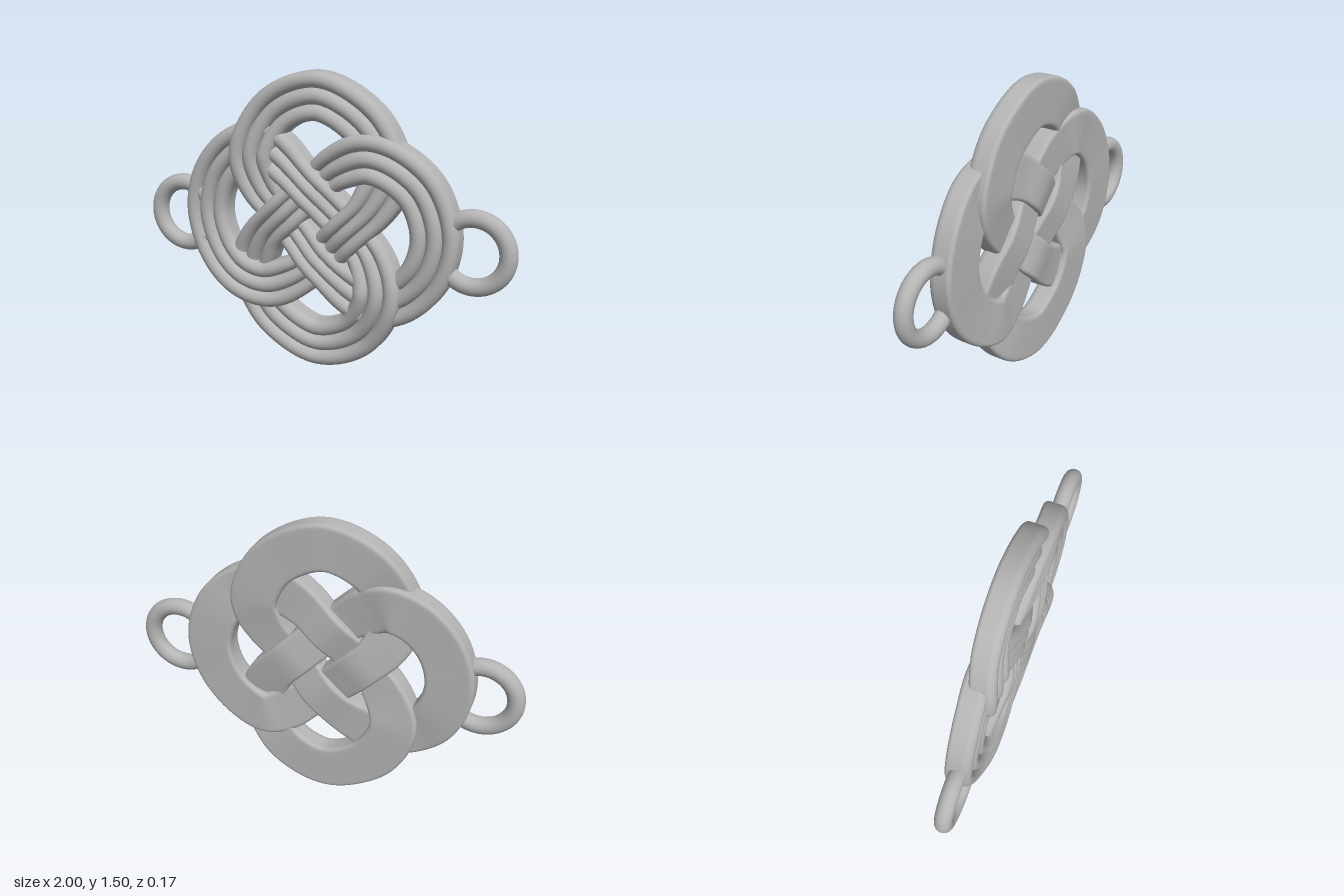
import * as THREE from 'three';
import { mergeGeometries } from 'three/addons/utils/BufferGeometryUtils.js';

// Half of the knot's centre line; the other half is the same turned 180 degrees
const CX = -0.02, CY = 0.755;
const half = [
  [-0.02, 1.385, -0.018], [-0.25, 1.295, -0.008], [-0.365, 1.08, 0.022], [-0.32, 0.91, 0],
  [-0.2, 0.77, -0.02], [-0.1, 0.67, 0], [0, 0.575, 0.022], [0.2, 0.42, 0],
  [0.31, 0.385, -0.02], [0.44, 0.435, -0.012], [0.56, 0.57, -0.006], [0.605, 0.76, -0.006],
  [0.54, 0.96, 0], [0.41, 1.075, 0.018], [0.26, 1.11, 0.014], [0.1, 1.05, 0],
  [-0.04, 0.935, -0.02], [-0.18, 0.795, 0.022], [-0.32, 0.645, 0.004], [-0.385, 0.49, -0.018],
  [-0.35, 0.355, -0.02], [-0.25, 0.225, -0.018],
];

// Strips of the band's section as [across, depth]: three cords in front, a flat back
function bandStrips() {
  const r = 0.04, z0 = 0.0225, back = -0.0625, w = 0.12, c = 0.02;
  const strips = [-0.08, 0, 0.08].map((x) => {
    const arc = [];
    for (let i = 0; i <= 12; i++) {
      const a = Math.PI * (1 - i / 12);
      arc.push([x + r * Math.cos(a), z0 + r * Math.sin(a)]);
    }
    return arc;
  });
  const side = [[w, z0]];
  for (let i = 0; i <= 4; i++) {
    const a = (i / 4) * Math.PI / 2;
    side.push([w - c + c * Math.cos(a), back + c - c * Math.sin(a)]);
  }
  side.push([w - c - 0.012, back]);
  strips.push([...side, ...side.slice().reverse().map(([x, z]) => [-x, z])]);
  return strips;
}

// Sweeps one strip along the closed path
function sweep(strip, path) {
  const n = path.length, m = strip.length, pos = [], idx = [];
  path.forEach((p, i) => {
    const a = path[(i + n - 1) % n], b = path[(i + 1) % n];
    const len = Math.hypot(b.x - a.x, b.y - a.y);
    const nx = -(b.y - a.y) / len, ny = (b.x - a.x) / len;
    // The band is a little narrower in the central weave
    const s = 0.84 + 0.16 * THREE.MathUtils.smoothstep(Math.hypot(p.x - CX, p.y - CY), 0.22, 0.42);
    strip.forEach(([w, z], j) => {
      pos.push(p.x + nx * w * s, p.y + ny * w * s, p.z + z);
      if (j < m - 1) {
        const k = ((i + 1) % n) * m + j, q = i * m + j;
        idx.push(q, k, q + 1, k, k + 1, q + 1);
      }
    });
  });
  const g = new THREE.BufferGeometry();
  g.setAttribute('position', new THREE.Float32BufferAttribute(pos, 3));
  g.setIndex(idx);
  g.computeVertexNormals();
  return g;
}

export function createModel() {
  const group = new THREE.Group();
  const grey = new THREE.MeshStandardMaterial({ color: 0xb4b4b4 });
  grey.name = 'plain grey';

  // Interlaced band
  const points = [...half, ...half.map(([x, y, z]) => [2 * CX - x, 2 * CY - y, z])]
    .map((p) => new THREE.Vector3(...p));
  const path = new THREE.CatmullRomCurve3(points, true, 'centripetal').getSpacedPoints(480).slice(0, -1);
  const knot = new THREE.Mesh(mergeGeometries(bandStrips().map((s) => sweep(s, path))), grey);
  knot.name = 'knotBand';
  group.add(knot);

  // Side rings, their ends sunk into the band
  const arc = THREE.MathUtils.degToRad(284);
  for (const side of [1, -1]) {
    const ring = new THREE.Mesh(new THREE.TorusGeometry(0.165, 0.043, 20, 64, arc), grey);
    ring.name = side > 0 ? 'leftRing' : 'rightRing';
    ring.position.set(side * 0.792, 0.717, 0);
    ring.rotation.z = (side > 0 ? 0 : Math.PI) - arc / 2;
    group.add(ring);
  }
  return group;
}
